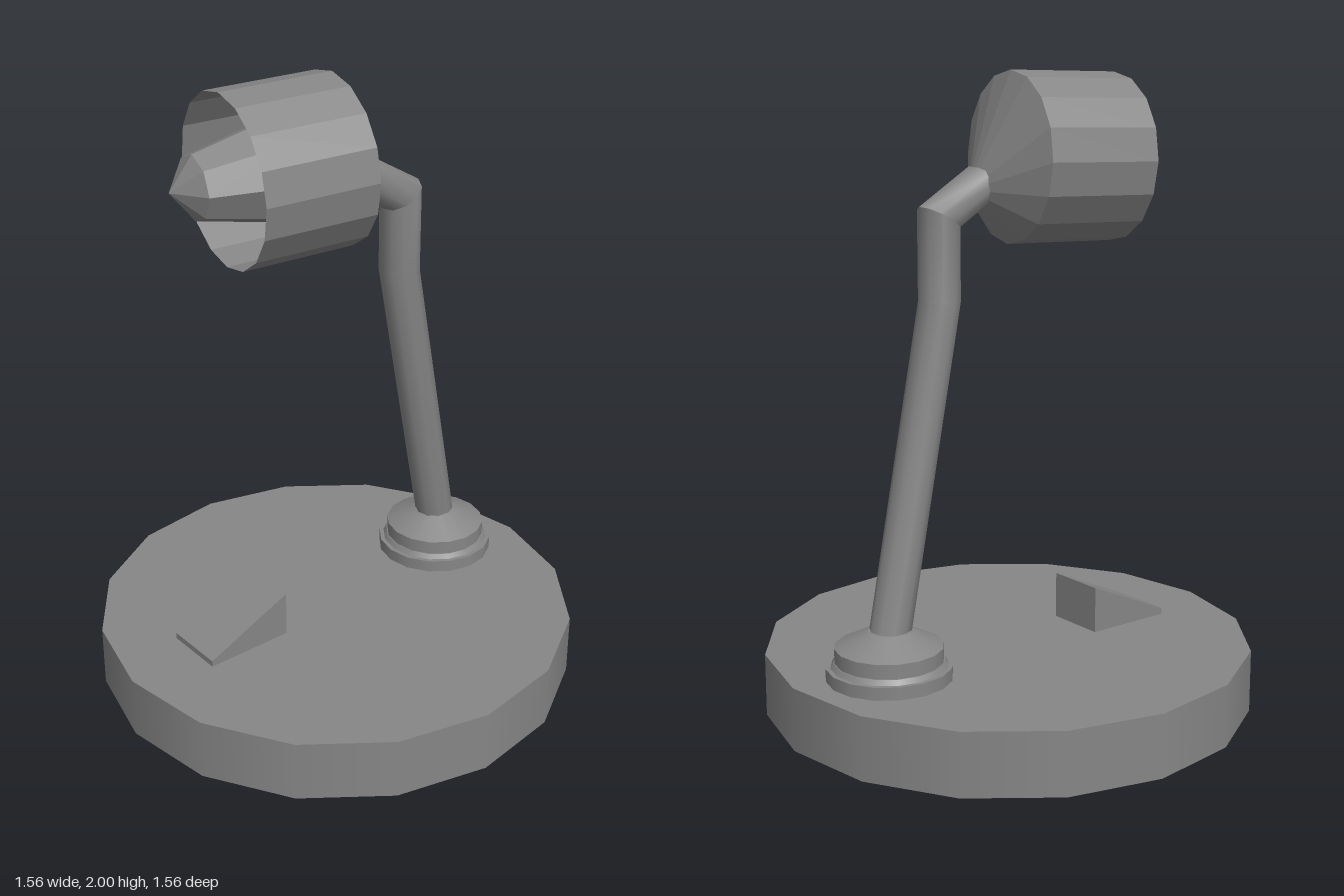
import * as THREE from 'three';
import { toCreasedNormals } from 'three/addons/utils/BufferGeometryUtils.js';

const color = 0x868686;
const smooth = new THREE.MeshStandardMaterial({ color });
const flat = new THREE.MeshStandardMaterial({ color, flatShading: true });
const flatOpen = new THREE.MeshStandardMaterial({ color, flatShading: true, side: THREE.DoubleSide });

function add(parent, name, geometry, material, x = 0, y = 0, z = 0) {
  const mesh = new THREE.Mesh(geometry, material);
  mesh.name = name;
  mesh.position.set(x, y, z);
  parent.add(mesh);
  return mesh;
}

// Bent pipe: circles in plan, sheared in height so the joints are mitred.
function bentPipe(stations, radius, sides) {
  const pos = [], index = [];
  stations.forEach(({ at: [cx, cy, cz], shear: [sx, sz] }, row) => {
    for (let i = 0; i < sides; i++) {
      const a = (i / sides) * Math.PI * 2;
      const x = Math.sin(a) * radius, z = Math.cos(a) * radius;
      pos.push(cx + x, cy + sx * x + sz * z, cz + z);
      if (row === 0) continue;
      const j = (i + 1) % sides, lo = (row - 1) * sides, hi = row * sides;
      index.push(lo + i, lo + j, hi + j, lo + i, hi + j, hi + i);
    }
  });
  const g = new THREE.BufferGeometry();
  g.setAttribute('position', new THREE.Float32BufferAttribute(pos, 3));
  g.setIndex(index);
  return toCreasedNormals(g, 0.7);
}

export function createModel() {
  const lamp = new THREE.Group();
  lamp.name = 'deskLamp';

  // Heavy round base
  add(lamp, 'base', new THREE.CylinderGeometry(0.78, 0.78, 0.2, 16), smooth, 0, 0.1, 0);

  // Stepped collar at the foot of the arm: [top radius, bottom radius, from y, to y]
  const collar = new THREE.Group();
  collar.name = 'collar';
  collar.position.set(0.425, 0, -0.267);
  lamp.add(collar);
  [
    [0.194, 0.194, 0.2, 0.24],
    [0.17, 0.18, 0.24, 0.255],
    [0.167, 0.167, 0.255, 0.3],
    [0.065, 0.167, 0.3, 0.35],
  ].forEach(([rt, rb, y0, y1], i) =>
    add(collar, 'collarStep' + (i + 1), new THREE.CylinderGeometry(rt, rb, y1 - y0, 16), smooth, 0, (y0 + y1) / 2, 0));

  // Bent arm
  add(lamp, 'arm', bentPipe([
    { at: [0.425, 0.32, -0.267], shear: [0, 0] },
    { at: [0.237, 1.32, -0.122], shear: [0, 0] },
    { at: [0.237, 1.57, -0.122], shear: [0.5, -0.28] },
    { at: [0.07, 1.68, -0.033], shear: [0.5, -0.28] },
  ], 0.065, 10), smooth);

  // Lamp head, its local +z pointing out of the open end
  const head = new THREE.Group();
  head.name = 'head';
  head.position.set(0, 1.738, -0.015);
  head.lookAt(-0.957, 1.715, 0.277);
  lamp.add(head);

  const shade = new THREE.CylinderGeometry(0.263, 0.263, 0.37, 16, 1, true);
  add(head, 'shade', shade.rotateX(Math.PI / 2), flatOpen, 0, 0, 0.185);

  // Rear cone, its small capped end dropped to meet the arm
  const cone = new THREE.CylinderGeometry(0.263, 0.045, 0.115, 16).rotateX(Math.PI / 2);
  const p = cone.attributes.position;
  for (let i = 0; i < p.count; i++) if (p.getZ(i) < 0) p.setY(i, p.getY(i) - 0.08);
  add(head, 'shadeBack', cone, flat, 0, 0, -0.0575);

  // Pointed bulb
  const bulbProfile = [[0, 0], [0.06, 0], [0.16, 0.2], [0.1, 0.462], [0, 0.54]]
    .map(([r, y]) => new THREE.Vector2(r, y));
  add(head, 'bulb', new THREE.LatheGeometry(bulbProfile, 8).rotateX(Math.PI / 2), flat);

  // Wedge-shaped switch on the base
  const wedge = new THREE.Shape([[-0.147, 0], [0.147, 0], [0.147, 0.15], [-0.147, 0.02]]
    .map(([x, y]) => new THREE.Vector2(x, y)));
  const wedgeGeometry = new THREE.ExtrudeGeometry(wedge, { depth: 0.2, bevelEnabled: false });
  const button = add(lamp, 'switch', wedgeGeometry.translate(0, 0, -0.1), flat, -0.376, 0.2, 0.128);
  button.rotation.y = 0.441;

  return lamp;
}
